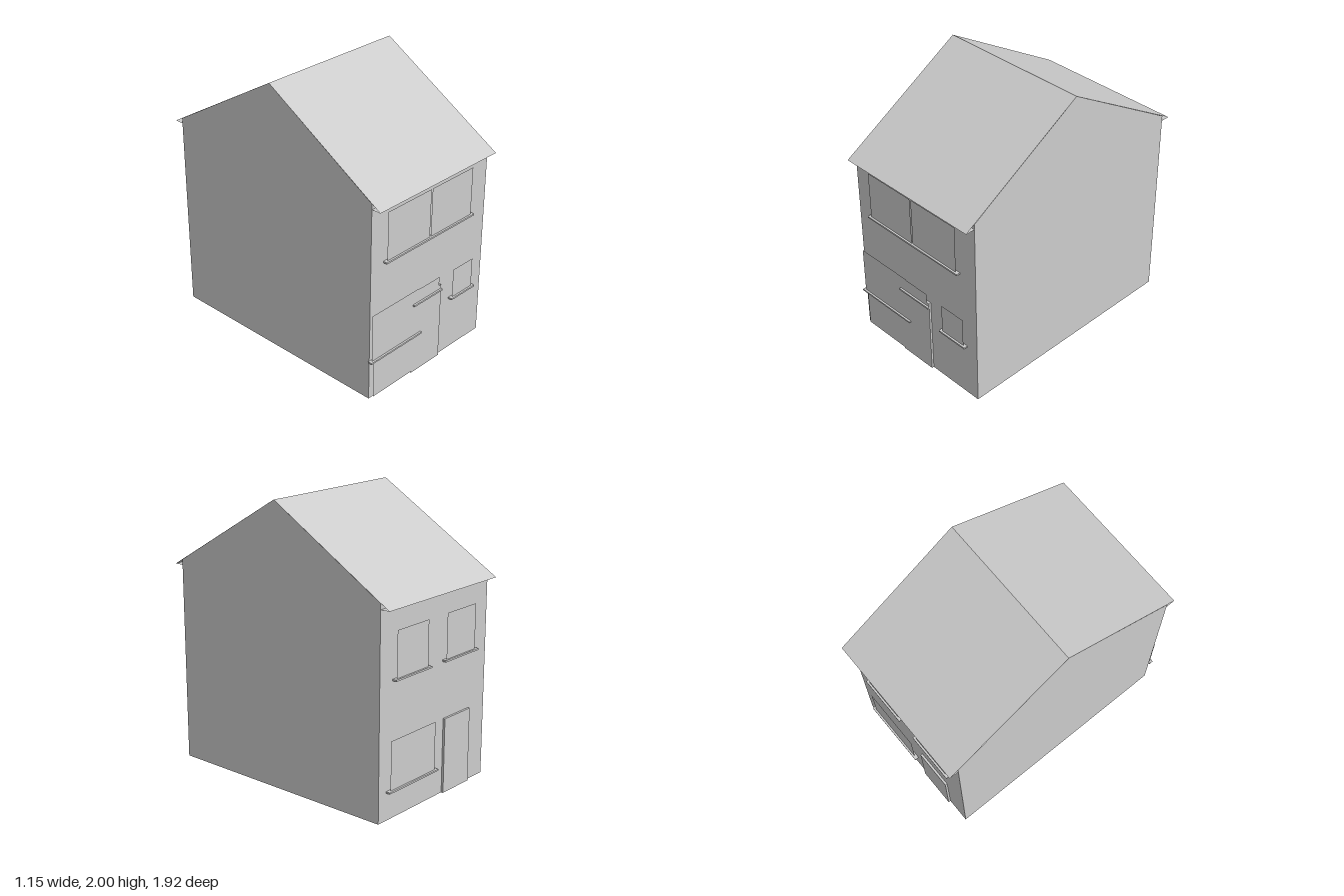
import * as THREE from 'three';

const LEFT = 0.577, RIGHT = -0.567; // side walls
const MID = (LEFT + RIGHT) / 2, WIDTH = LEFT - RIGHT;
const WALL = 0.89, WALL_Y = 1.47;   // front and back walls
const EAVE = 0.96, EAVE_Y = 1.43, RIDGE_Y = 2;
const RAISE = 0.016;                // how far doors and windows stand out

export function createModel() {
  const house = new THREE.Group();
  house.name = 'house';
  const solid = new THREE.MeshStandardMaterial({ color: 0xcccccc, flatShading: true });
  const thin = new THREE.MeshStandardMaterial({ color: 0xcccccc, flatShading: true, side: THREE.DoubleSide });

  const add = (name, geometry, material = thin) => {
    const mesh = new THREE.Mesh(geometry, material);
    mesh.name = name;
    house.add(mesh);
    return mesh;
  };

  // Upright thin rectangle facing front (side 1) or back (side -1)
  const upright = (name, side, x0, x1, y0, y1, z) => {
    const mesh = add(name, new THREE.PlaneGeometry(x1 - x0, y1 - y0));
    mesh.position.set((x0 + x1) / 2, (y0 + y1) / 2, side * z);
    if (side < 0) mesh.rotation.y = Math.PI;
  };
  // Solid block standing out from a wall
  const block = (name, side, x0, x1, y0, y1, depth) => {
    add(name, new THREE.BoxGeometry(x1 - x0, y1 - y0, depth), solid)
      .position.set((x0 + x1) / 2, (y0 + y1) / 2, side * (WALL + depth / 2));
  };
  const pane = (name, side, ...rect) => upright(name, side, ...rect, WALL + RAISE);
  const sill = (name, side, x0, x1, y) => block(name, side, x0, x1, y - 0.006, y + 0.006, 0.03);
  const door = (name, side, x0, x1, top) => block(name, side, x0, x1, 0, top, RAISE);

  // Gable walls
  const gable = new THREE.Shape([
    [-WALL, 0], [WALL, 0], [WALL, WALL_Y], [0, RIDGE_Y], [-WALL, WALL_Y],
  ].map(([z, y]) => new THREE.Vector2(z, y)));
  for (const [name, x, turn] of [['leftWall', LEFT, 1], ['rightWall', RIGHT, -1]]) {
    const wall = add(name, new THREE.ShapeGeometry(gable));
    wall.position.x = x;
    wall.rotation.y = turn * Math.PI / 2;
  }

  // Front and back walls, roof slopes and flat soffits; the underside stays open
  const run = Math.hypot(EAVE, RIDGE_Y - EAVE_Y);
  const pitch = Math.atan2(RIDGE_Y - EAVE_Y, EAVE);
  for (const [name, side] of [['front', 1], ['back', -1]]) {
    upright(name + 'Wall', side, RIGHT, LEFT, 0, WALL_Y, WALL);

    const slope = add(name + 'Roof', new THREE.PlaneGeometry(WIDTH, run));
    slope.position.set(MID, (RIDGE_Y + EAVE_Y) / 2, side * EAVE / 2);
    slope.rotation.x = -Math.PI / 2 + side * pitch;

    const soffit = add(name + 'Soffit', new THREE.PlaneGeometry(WIDTH, EAVE - WALL));
    soffit.position.set(MID, EAVE_Y, side * (EAVE + WALL) / 2);
    soffit.rotation.x = Math.PI / 2;
  }

  // Front doors and windows
  pane('upperFrontWindowRight', 1, -0.43, -0.015, 1.01, 1.365);
  pane('upperFrontWindowLeft', 1, -0.005, 0.41, 1.01, 1.365);
  sill('upperFrontSill', 1, -0.45, 0.432, 1.006);
  pane('smallFrontWindow', 1, 0.255, 0.462, 0.42, 0.64);
  sill('smallFrontSill', 1, 0.235, 0.483, 0.416);
  pane('largeFrontWindow', 1, -0.56, -0.1, 0.3, 0.655);
  sill('largeFrontSill', 1, -0.577, -0.075, 0.297);
  pane('lowerFrontPanel', 1, -0.54, -0.157, 0.01, 0.3);
  door('frontDoor', 1, -0.157, 0.13, 0.58);
  pane('overDoorWindow', 1, -0.135, 0.107, 0.58, 0.65);
  sill('overDoorSill', 1, -0.16, 0.13, 0.547);

  // Back door and windows
  for (const [name, x0, x1] of [['Left', 0.1, 0.425], ['Right', -0.42, -0.1]]) {
    pane('upperBackWindow' + name, -1, x0, x1, 0.95, 1.27);
    sill('upperBackSill' + name, -1, x0 - 0.025, x1 + 0.025, 0.946);
  }
  pane('lowerBackWindow', -1, 0.005, 0.475, 0.2, 0.545);
  sill('lowerBackSill', -1, -0.02, 0.5, 0.198);
  door('backDoor', -1, -0.385, -0.1, 0.535);

  return house;
}
